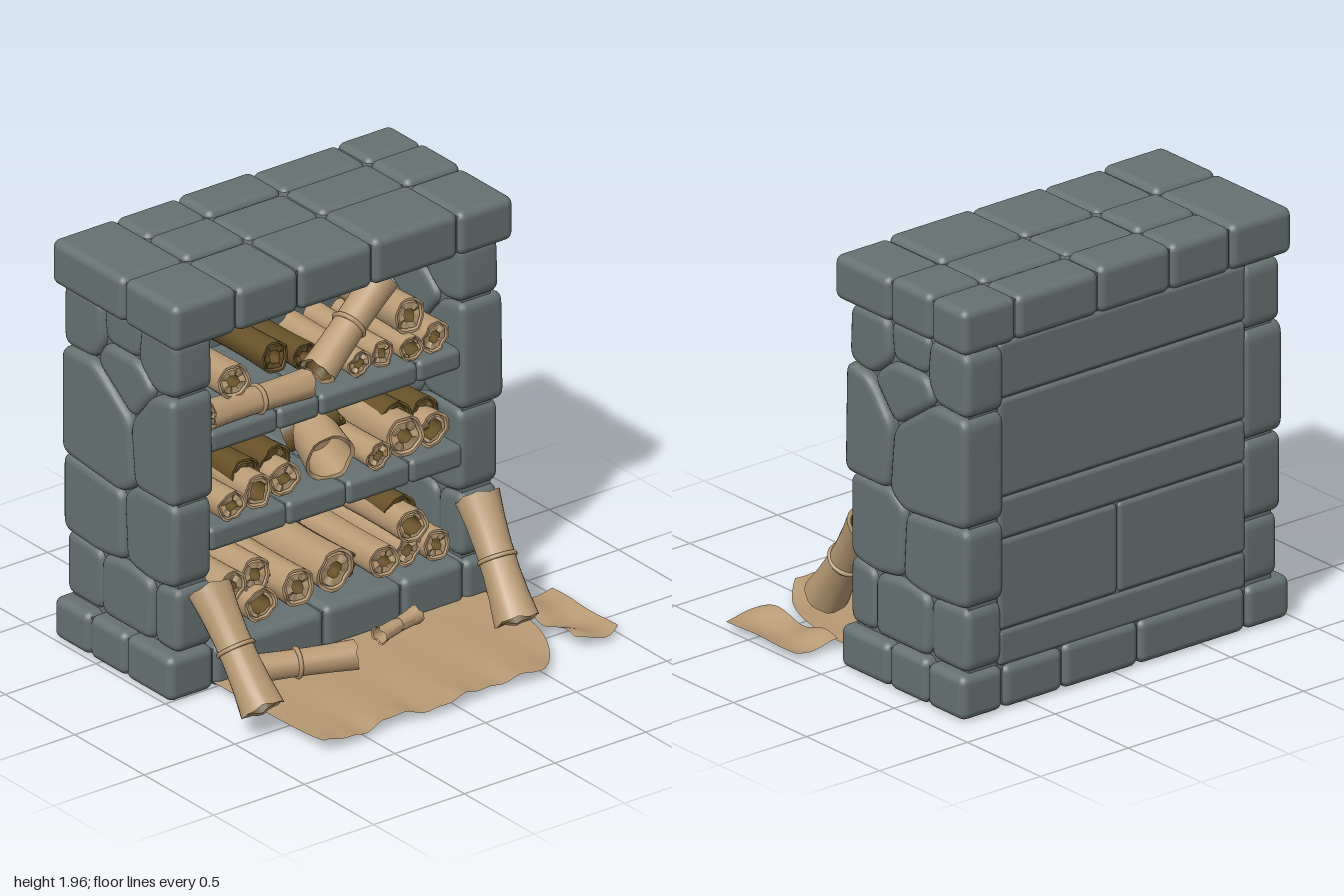
import * as THREE from 'three';
import { mergeVertices, toCreasedNormals } from 'three/addons/utils/BufferGeometryUtils.js';
import { RoundedBoxGeometry } from 'three/addons/geometries/RoundedBoxGeometry.js';

const stone = new THREE.MeshStandardMaterial({ color: 0x667171 });
stone.name = 'grey stone';
const paper = new THREE.MeshStandardMaterial({ color: 0xb89a75, side: THREE.DoubleSide });
paper.name = 'tan paper';
const dark = new THREE.MeshStandardMaterial({ color: 0x665028, side: THREE.DoubleSide });
dark.name = 'dark paper';

function add(parent, name, geometry, material) {
  const mesh = new THREE.Mesh(geometry, material);
  mesh.name = name;
  parent.add(mesh);
  return mesh;
}

// Stone block between two corners, with soft edges
function block(parent, name, x0, x1, y0, y1, z0, z1, r = 0.035) {
  const g = r ? new RoundedBoxGeometry(x1 - x0, y1 - y0, z1 - z0, 4, r)
    : new THREE.BoxGeometry(x1 - x0, y1 - y0, z1 - z0);
  const m = add(parent, name, g, stone);
  m.position.set((x0 + x1) / 2, (y0 + y1) / 2, (z0 + z1) / 2);
  return m;
}

// Pillow-edged wall stone from a (z, y) outline, spanning x0..x1
function wallStone(parent, name, outline, x0, x1) {
  const pts = outline.map(([z, y]) => new THREE.Vector2(-z, y));
  const shape = new THREE.Shape();
  pts.forEach((p, i) => {
    const a = pts[(i + pts.length - 1) % pts.length], b = pts[(i + 1) % pts.length];
    const near = q => p.clone().lerp(q, Math.min(0.4, 0.06 / p.distanceTo(q)));
    const s = near(a), e = near(b);
    if (i) shape.lineTo(s.x, s.y); else shape.moveTo(s.x, s.y);
    shape.quadraticCurveTo(p.x, p.y, e.x, e.y);
  });
  shape.closePath();
  const bevel = 0.035;
  let g = new THREE.ExtrudeGeometry(shape, {
    depth: x1 - x0 - 2 * bevel, curveSegments: 5, bevelEnabled: true,
    bevelSize: bevel, bevelOffset: -bevel, bevelThickness: bevel, bevelSegments: 4,
  });
  g.deleteAttribute('normal');
  g.deleteAttribute('uv');
  g = mergeVertices(g, 1e-4);
  g.rotateY(Math.PI / 2).translate(x0 + bevel, 0, 0);
  g.computeVertexNormals();
  add(parent, name, g, stone);
}

// Rolled paper from a to b: flared tube, ringed ends, hollow core, optional tie
function scroll(parent, name, a, b, r, { hole = 0.4, tie = false, flare = 0.1, skin = paper, core = dark } = {}) {
  const from = new THREE.Vector3(...a), to = new THREE.Vector3(...b);
  const L = from.distanceTo(to), h = L / 2, seed = a[0] * 17 + a[1] * 29;
  const rings = hole < 0.6 ? [[0.86, 0], [0.8, 0.025], [0.73, 0.004]] : [];
  const end = [[1, 0], ...rings, [hole, 0.006]];
  const V = (f, y) => new THREE.Vector2(f * r, y);
  const body = [-0.6, -0.2, 0.2, 0.6].map(t => V(1 - flare * (1 - t * t), t * h));
  const profile = [...end.map(([f, d]) => V(f, d - h)).reverse(), ...body, ...end.map(([f, d]) => V(f, h - d))];
  const ragged = g => {
    const p = g.attributes.position;
    for (let i = 0; i < p.count; i++) {
      const t = Math.atan2(p.getZ(i), p.getX(i)), y = p.getY(i);
      const w = 1 + 0.035 * Math.sin(2 * t + seed) + 0.02 * Math.sin(5 * t + seed * 2);
      const e = Math.abs(y) > h * 0.8 ? 0.006 * Math.sin(3 * t + seed) + 0.004 * Math.sin(7 * t) : 0;
      p.setXYZ(i, p.getX(i) * w, y + e, p.getZ(i) * w);
    }
    return toCreasedNormals(g, 0.7);
  };
  const roll = new THREE.Group();
  roll.name = name;
  add(roll, 'rolled sheet', ragged(new THREE.LatheGeometry(profile, 24)), skin);
  const deep = hole > 0.6 ? h * 0.95 : Math.min(0.12, h * 0.5);
  for (const s of [-1, 1]) {
    const inner = [V(hole, s * (h - 0.006)), V(hole * 0.9, s * (h - deep)), V(0, s * (h - deep))];
    add(roll, 'hollow core', ragged(new THREE.LatheGeometry(inner, 24)), core);
  }
  if (tie) add(roll, 'tie', new THREE.TorusGeometry(r * (1.03 - flare), 0.011, 6, 24).rotateX(Math.PI / 2), skin);
  roll.position.copy(from).add(to).multiplyScalar(0.5);
  roll.quaternion.setFromUnitVectors(new THREE.Vector3(0, 1, 0), to.sub(from).normalize());
  parent.add(roll);
}

// Loose sheet: rule maps u, v in 0..1 to a position
function sheet(parent, name, rule) {
  const g = new THREE.PlaneGeometry(1, 1, 40, 28);
  const p = g.attributes.position;
  for (let i = 0; i < p.count; i++) p.setXYZ(i, ...rule(p.getX(i) + 0.5, 0.5 - p.getY(i)));
  g.computeVertexNormals();
  add(parent, name, g, paper);
}

// Grid of stones sharing edges
function course(parent, name, xs, zs, y0, y1, r, skip) {
  for (let i = 0; i < xs.length - 1; i++) for (let j = 0; j < zs.length - 1; j++) {
    if (skip && i === 0 && j === 2) continue;
    const back = skip && i === 0 && j === 1 ? zs[3] : zs[j + 1];
    const top = y1 - 0.012 * ((i * 2 + j) % 3) / 2;
    block(parent, name, xs[i], xs[i + 1], y0, top, back, zs[j], r);
  }
  block(parent, name + ' core', xs[0] + 0.025, xs.at(-1) - 0.025, y0 + 0.02, y1 - 0.03, zs.at(-1) + 0.025, zs[0] - 0.025, 0);
}

export function createModel() {
  const model = new THREE.Group();
  model.name = 'stone scroll shelf';
  const part = name => { const g = new THREE.Group(); g.name = name; model.add(g); return g; };

  // Top slab and base
  course(part('top slab'), 'top stone', [-1, -0.65, -0.31, 0.1, 0.57, 0.875], [0.07, -0.31, -0.59, -0.83], 1.73, 1.955, 0.04, true);
  course(part('base'), 'base stone', [-0.99, -0.74, -0.13, 0.3, 0.64, 0.88], [0.02, -0.31, -0.57, -0.825], 0, 0.215, 0.04);

  // Side walls of fitted stones, outlines in (z, y)
  const outlines = [
    [[0, 0.21], [-0.18, 0.21], [-0.18, 0.5], [0, 0.53]],
    [[-0.18, 0.21], [-0.55, 0.21], [-0.55, 0.5], [-0.36, 0.53], [-0.18, 0.5]],
    [[-0.55, 0.21], [-0.81, 0.21], [-0.81, 0.52], [-0.55, 0.5]],
    [[-0.01, 0.53], [-0.18, 0.5], [-0.37, 0.53], [-0.39, 0.86], [-0.29, 0.93], [-0.01, 0.93]],
    [[-0.37, 0.53], [-0.55, 0.5], [-0.82, 0.52], [-0.82, 0.9], [-0.39, 0.86]],
    [[0.01, 0.93], [-0.29, 0.93], [-0.32, 1.24], [-0.16, 1.43], [0, 1.46]],
    [[-0.29, 0.93], [-0.39, 0.86], [-0.82, 0.9], [-0.82, 1.42], [-0.59, 1.43], [-0.32, 1.24]],
    [[-0.16, 1.43], [-0.32, 1.24], [-0.59, 1.43], [-0.53, 1.54], [-0.29, 1.54]],
    [[0, 1.46], [-0.16, 1.43], [-0.29, 1.54], [-0.27, 1.73], [-0.01, 1.73]],
    [[-0.29, 1.54], [-0.53, 1.54], [-0.55, 1.73], [-0.27, 1.73]],
    [[-0.53, 1.54], [-0.59, 1.43], [-0.82, 1.42], [-0.82, 1.73], [-0.55, 1.73]],
  ];
  const bulge = [0, 0.01, 0, 0.01, 0.015, 0.03, 0.025, 0.01, 0.01, 0, 0.01];
  const right = part('right wall'), left = part('left wall');
  outlines.forEach((o, i) => {
    wallStone(left, 'wall stone', o, 0.635, 0.84 + bulge[i]);
    wallStone(right, 'wall stone', o, -0.93 - bulge[i], -0.73);
  });
  block(left, 'wall core', 0.66, 0.815, 0.1, 1.76, -0.79, -0.03, 0);
  block(right, 'wall core', -0.905, -0.755, 0.1, 1.76, -0.79, -0.03, 0);

  // Back wall
  const back = part('back wall');
  for (const [x0, x1, y0, y1] of [[-0.75, 0.66, 1.47, 1.74], [-0.75, 0.66, 1, 1.47], [-0.75, 0.66, 0.8, 1],
    [-0.75, -0.02, 0.37, 0.8], [-0.02, 0.66, 0.37, 0.8], [-0.75, 0.66, 0.2, 0.37]])
    block(back, 'back stone', x0, x1, y0, y1, -0.81, -0.7, 0.025);
  block(back, 'back core', -0.75, 0.66, 0.15, 1.76, -0.795, -0.69, 0);

  // Shelves
  const shelf = (name, y0, y1, xs) => {
    const g = part(name);
    for (let i = 0; i < xs.length - 1; i++) block(g, 'shelf stone', xs[i], xs[i + 1], y0, y1, -0.71, -0.015, 0.028);
    block(g, 'shelf core', xs[0], xs.at(-1), y0 + 0.015, y1 - 0.012, -0.71, -0.04, 0);
  };
  shelf('upper shelf', 1.13, 1.235, [-0.74, -0.36, -0.13, 0.41, 0.65]);
  shelf('lower shelf', 0.65, 0.765, [-0.74, -0.31, 0.02, 0.37, 0.66]);

  // Scrolls stacked on the shelves, as x, y, radius
  const stacked = part('stacked scrolls');
  [
    [-0.59, 1.435, 0.085], [0.12, 1.3, 0.062], [0.26, 1.3, 0.062], [0.39, 1.3, 0.062], [0.535, 1.305, 0.075], [0.41, 1.44, 0.085],
    [-0.6, 0.83, 0.073], [-0.44, 0.845, 0.08], [-0.28, 0.85, 0.083], [0.21, 0.83, 0.065], [0.37, 0.87, 0.1], [0.54, 0.845, 0.083],
    [-0.67, 0.3, 0.075], [-0.59, 0.42, 0.08], [-0.44, 0.43, 0.083], [-0.44, 0.3, 0.083], [-0.22, 0.31, 0.09],
    [0, 0.32, 0.1], [0.24, 0.305, 0.08], [0.41, 0.42, 0.083], [0.4, 0.295, 0.072], [0.53, 0.3, 0.075],
  ].forEach(([x, y, r], i) => {
    const z = -0.04 - 0.02 * (i % 3);
    scroll(stacked, 'stacked scroll', [x, y, z - 0.5], [x, y, z], r, { flare: 0.06, hole: i % 4 === 3 ? 0.55 : 0.36 });
  });
  // Shaded scrolls further back
  for (const [x, y, r] of [[-0.27, 1.41, 0.075], [-0.1, 1.36, 0.07], [-0.43, 0.885, 0.08], [-0.27, 0.9, 0.08],
    [0.39, 0.91, 0.085], [0.55, 0.885, 0.08], [0.42, 0.45, 0.08], [-0.32, 0.29, 0.07], [0.12, 0.28, 0.06]])
    scroll(stacked, 'rear scroll', [x, y, -0.66], [x, y, -0.16], r, { skin: dark });

  // Loose scrolls on the shelves
  const loose = part('loose scrolls');
  scroll(loose, 'crosswise scroll', [-0.72, 1.305, -0.06], [-0.17, 1.295, -0.06], 0.066, { tie: true });
  scroll(loose, 'slanted scroll', [-0.1, 1.32, -0.08], [0.34, 1.6, -0.2], 0.082, { tie: true, hole: 0.75 });
  scroll(loose, 'open scroll', [0.06, 0.96, -0.42], [-0.03, 0.875, -0.08], 0.12, { hole: 0.85, core: paper });
  scroll(loose, 'shaded scroll', [-0.08, 0.9, -0.36], [0.13, 1.02, -0.25], 0.09, { skin: dark, hole: 0.8 });

  // Scrolls leaning against the front
  scroll(loose, 'leaning scroll', [-0.85, 0.125, 0.505], [-0.855, 0.575, 0.125], 0.1, { tie: true, hole: 0.8, flare: 0.2 });
  scroll(loose, 'leaning scroll', [0.58, 0.115, 0.47], [0.63, 0.575, 0.12], 0.1, { tie: true, hole: 0.8, flare: 0.2 });

  // Scrolls lying on the floor
  scroll(loose, 'floor scroll', [-0.69, 0.12, 0.13], [-0.19, 0.115, 0.3], 0.069, { tie: true, hole: 0.85, core: paper });
  scroll(loose, 'crumpled scroll', [0.04, 0.09, 0.18], [0.27, 0.115, 0.15], 0.045, { hole: 0.85, flare: 0.3, core: paper });

  // Sheets spread on the floor
  const sheets = part('floor sheets');
  sheet(sheets, 'large sheet', (u, v) => {
    const edge = 0.75 - 0.28 * Math.pow(v, 3.5);
    const x = -0.74 + u * (edge + 0.74);
    const z = v * (0.8 + 0.015 * Math.sin(u * 14) * v);
    const y = 0.03 + 0.012 * Math.sin(x * 17 + 1) * v * v + 0.006 * Math.sin(x * 41) * v ** 6 + 0.012 * v ** 8;
    return [x, y, z];
  });
  sheet(sheets, 'small sheet', (u, v) => [
    0.755 + 0.24 * u + 0.005 * Math.sin(v * 8), 0.035 + 0.02 * Math.sin(v * 9) * (1 - u) + 0.012 * Math.cos(u * 5),
    0.18 + v * (0.47 + 0.045 * Math.sin(u * Math.PI)),
  ]);
  return model;
}
